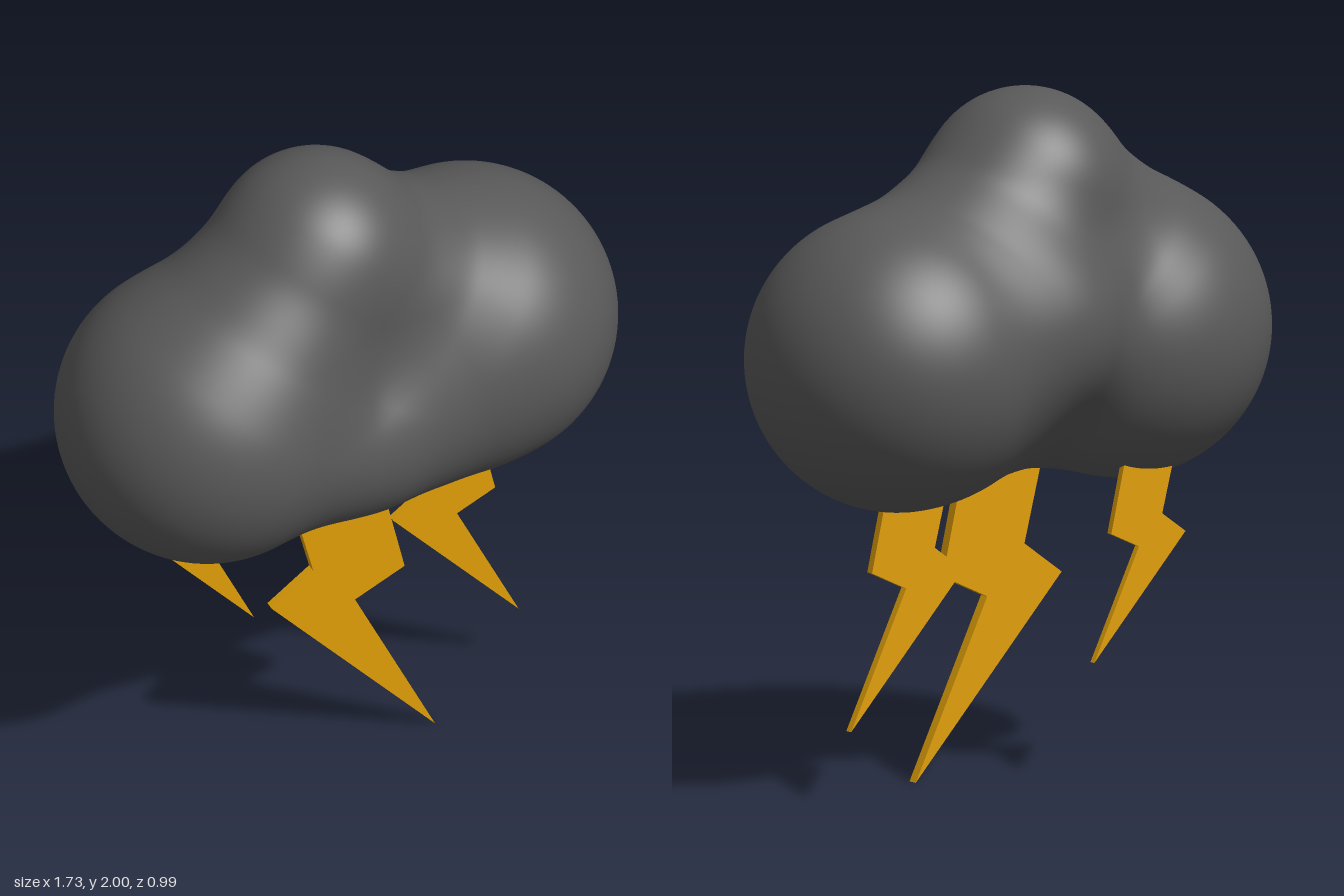
import * as THREE from 'three';
import { mergeVertices } from 'three/addons/utils/BufferGeometryUtils.js';

const cloudGrey = new THREE.MeshStandardMaterial({ color: 0x595959 });
cloudGrey.name = 'cloudGrey';
const boltGold = new THREE.MeshStandardMaterial({ color: 0xe2a008 });
boltGold.name = 'boltGold';

// Puffs of the cloud: x, y, z, radius
const PUFFS = [
  [-0.43, 1.265, 0.06, 0.437], // right lobe
  [0.43, 1.27, -0.06, 0.437], // left lobe
  [-0.07, 1.7, 0.015, 0.298], // crown
  [-0.03, 1.16, 0.13, 0.28], // front bulge
  [0.06, 1.36, -0.16, 0.285], // back bulge
  [-0.25, 1.5, 0.07, 0.285], // right shoulder
  [0.16, 1.5, -0.02, 0.28], // left shoulder
  [0.2, 1.2, 0.03, 0.31], // lower bridge
];
const BLEND = 0.15;

// Distance to the softly merged puffs
function cloudDistance(p) {
  let d = Infinity;
  for (const [x, y, z, r] of PUFFS) {
    const e = Math.hypot(p.x - x, p.y - y, p.z - z) - r;
    if (d === Infinity) { d = e; continue; }
    const h = Math.max(BLEND - Math.abs(d - e), 0) / BLEND;
    d = Math.min(d, e) - h * h * BLEND * 0.25;
  }
  return d;
}

// Cloud: a fine ball whose points are pulled inward until they meet the puffs
function makeCloud() {
  let geo = new THREE.IcosahedronGeometry(1, 36);
  geo.deleteAttribute('uv');
  geo.deleteAttribute('normal');
  geo = mergeVertices(geo, 1e-4);
  const centre = new THREE.Vector3(0, 1.3, 0);
  const pos = geo.attributes.position;
  const dir = new THREE.Vector3();
  const p = new THREE.Vector3();
  for (let i = 0; i < pos.count; i++) {
    dir.fromBufferAttribute(pos, i).normalize();
    let t = 1.2;
    for (let step = 0; step < 120; step++) {
      const d = cloudDistance(p.copy(centre).addScaledVector(dir, t));
      if (d < 1e-4) break;
      t -= d * 0.9;
    }
    pos.setXYZ(i, p.x, p.y, p.z);
  }
  geo.computeVertexNormals();
  const mesh = new THREE.Mesh(geo, cloudGrey);
  mesh.name = 'cloud';
  return mesh;
}

// Lightning bolt outline, measured from its tip
const BOLT = [
  [0, 0], [-0.25, 0.515], [-0.095, 0.588], [-0.19, 1.0],
  [-0.468, 1.0], [-0.38, 0.655], [-0.51, 0.56],
];

function makeBolt(name, x, y, z, scale) {
  const depth = 0.031;
  const shape = new THREE.Shape(BOLT.map(([a, b]) => new THREE.Vector2(a, b)));
  const geo = new THREE.ExtrudeGeometry(shape, { depth, bevelEnabled: false });
  geo.translate(0, 0, -depth / 2);
  const mesh = new THREE.Mesh(geo, boltGold);
  mesh.name = name;
  mesh.position.set(x, y, z);
  mesh.scale.setScalar(scale);
  return mesh;
}

export function createModel() {
  const group = new THREE.Group();
  group.name = 'stormCloud';
  group.add(
    makeCloud(),
    makeBolt('middleBolt', 0.25, 0, 0.118, 1),
    makeBolt('leftBolt', 0.58, 0.203, -0.033, 0.77),
    makeBolt('rightBolt', -0.2, 0.337, -0.134, 0.625),
  );
  return group;
}
